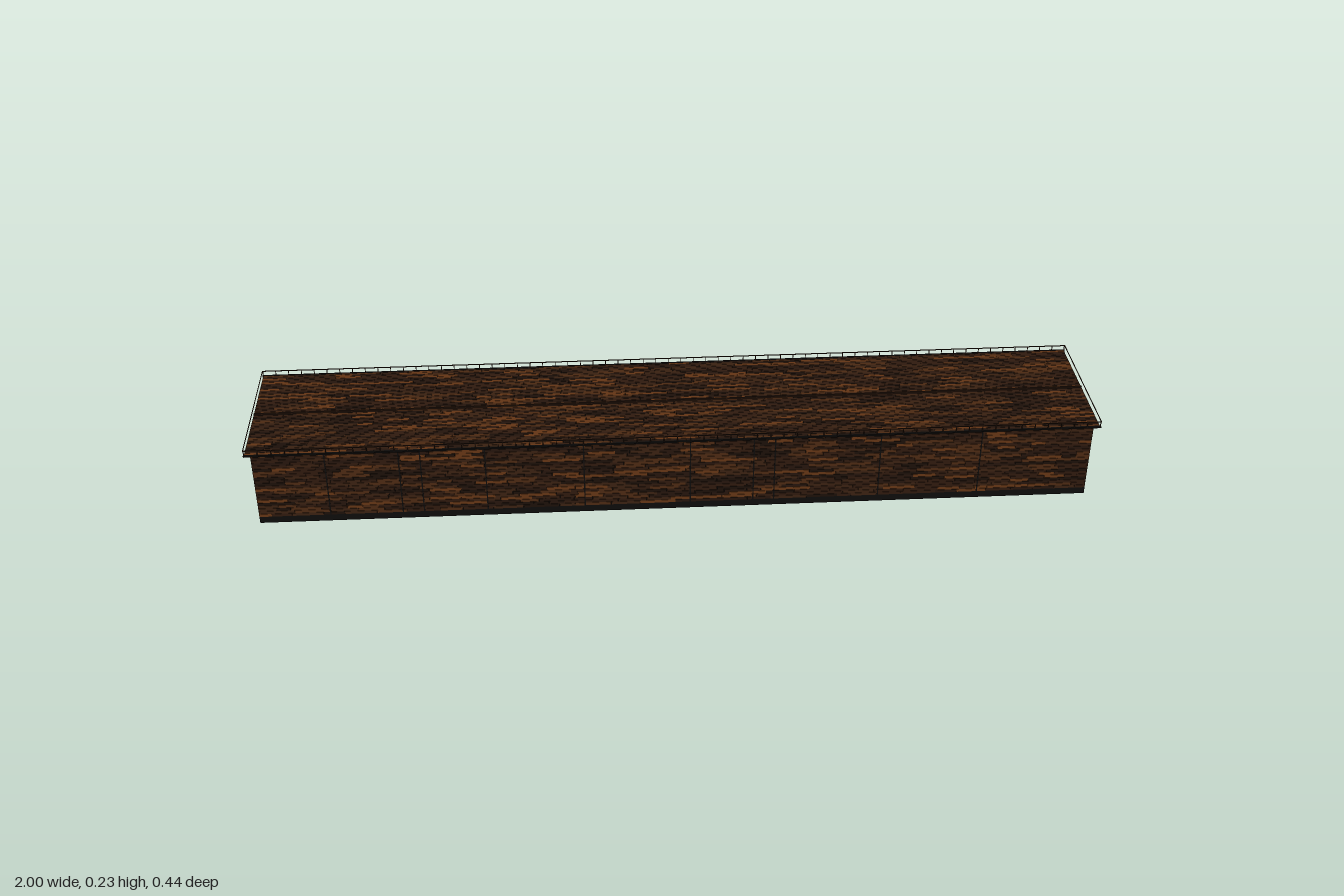
import * as THREE from 'three';
import { mergeGeometries } from 'three/addons/utils/BufferGeometryUtils.js';

const SHADES = [0x2e190d, 0x24140b, 0x382010, 0x4a2811, 0x1b0f08, 0x623414];
const DARK = 0x0d0b0a, BEAM = 0x2a180e;

// small seeded generator for plank lengths and shades
let seed = 7;
function rnd() {
  seed = (seed * 16807) % 2147483647;
  return seed / 2147483647;
}

// box given by its lower and upper corner
function box(x0, x1, y0, y1, z0, z1) {
  const g = new THREE.BoxGeometry(x1 - x0, y1 - y0, z1 - z0);
  return g.translate((x0 + x1) / 2, (y0 + y1) / 2, (z0 + z1) / 2);
}

// round or square bar between two points
function bar(a, b, r, sides = 4) {
  const from = new THREE.Vector3(...a), to = new THREE.Vector3(...b);
  const dir = to.clone().sub(from);
  const g = new THREE.CylinderGeometry(r, r, dir.length(), sides);
  g.applyQuaternion(new THREE.Quaternion().setFromUnitVectors(new THREE.Vector3(0, 1, 0), dir.normalize()));
  return g.translate(...from.add(to).multiplyScalar(0.5).toArray());
}

function part(parent, name, geometries, color) {
  const mesh = new THREE.Mesh(mergeGeometries(geometries), new THREE.MeshStandardMaterial({ color }));
  mesh.name = name;
  parent.add(mesh);
}

// rows of planks of random length; place(u0, u1, v0, v1) makes one plank
function planking(parent, name, u0, u1, v0, v1, rows, length, place) {
  const group = new THREE.Group();
  group.name = name;
  const bins = SHADES.map(() => []);
  const h = (v1 - v0) / rows;
  for (let r = 0; r < rows; r++) {
    let u = u0;
    while (u < u1 - 1e-6) {
      let end = u + length * (0.5 + rnd());
      if (end > u1 - length * 0.3) end = u1;
      const shade = Math.floor(Math.pow(rnd(), 1.4) * SHADES.length);
      bins[shade].push(place(u, end - 0.0006, v0 + r * h, v0 + (r + 1) * h - 0.0007));
      u = end;
    }
  }
  bins.forEach((b, i) => b.length && part(group, name + 'Planks', b, SHADES[i]));
  parent.add(group);
}

export function createModel() {
  const root = new THREE.Group();
  root.name = 'woodenArk';
  const X = 0.986, F = 0.21, B = -0.125, T = 0.003;

  // dark inner hull and base skirt
  part(root, 'hullCore', [box(-X + T, X - T, 0.02, 0.212, B + T, F - T)], DARK);
  part(root, 'baseSkirt', [box(-X, X, 0.019, 0.036, B, F)], DARK);

  // plank cladding on the four walls
  planking(root, 'frontWall', -X, X, 0.036, 0.213, 22, 0.06, (a, b, c, d) => box(a, b, c, d, F - T, F));
  planking(root, 'backWall', -X, X, 0.036, 0.213, 22, 0.06, (a, b, c, d) => box(a, b, c, d, B, B + T));
  planking(root, 'leftWall', B, F, 0.036, 0.213, 22, 0.05, (a, b, c, d) => box(X - T, X, c, d, a, b));
  planking(root, 'rightWall', B, F, 0.036, 0.213, 22, 0.05, (a, b, c, d) => box(-X, -X + T, c, d, a, b));

  // dark vertical seam battens on the long walls
  const seams = [];
  for (const x of [-0.82, -0.65, -0.6, -0.45, -0.22, 0.03, 0.18, 0.23, 0.48, 0.72]) {
    seams.push(box(x, x + 0.003, 0.036, 0.213, F, F + 0.0006));
    seams.push(box(x, x + 0.003, 0.036, 0.213, B - 0.0006, B));
  }
  part(root, 'wallSeams', seams, DARK);

  // overhanging roof with planks along its length
  part(root, 'roofDeck', [box(-0.997, 0.997, 0.211, 0.2145, -0.131, 0.217)], DARK);
  planking(root, 'roof', -0.998, 0.998, -0.132, 0.217, 44, 0.07, (a, b, c, d) => box(a, b, 0.2135, 0.217, c, d));
  part(root, 'roofRidge', [box(-0.998, 0.998, 0.216, 0.22, 0.042, 0.046)], BEAM);

  // roof railing: eave beams, posts and hand rails
  const rail = [], eaves = [];
  for (const z of [-0.132, 0.2195]) {
    eaves.push(box(-1, 1, 0.2135, 0.2175, z - 0.003, z + 0.002));
    rail.push(box(-1, 1, 0.229, 0.231, z - 0.0008, z + 0.0008));
    for (let i = 0; i <= 64; i++) {
      const x = -0.998 + i * 1.996 / 64;
      rail.push(box(x - 0.0009, x + 0.0009, 0.216, 0.23, z - 0.0009, z + 0.0009));
    }
  }
  for (const x of [-0.999, 0.999]) rail.push(box(x - 0.0008, x + 0.0008, 0.229, 0.231, -0.132, 0.2195));
  part(root, 'eaveBeams', eaves, DARK);
  part(root, 'roofRailing', rail, BEAM);

  // two rows of support blocks
  const blocks = [];
  for (let i = 0; i < 46; i++) {
    const x = -0.98 + i * 1.955 / 45;
    for (const z of [0.149, -0.0615]) blocks.push(box(x - 0.005, x + 0.005, 0, 0.021, z - 0.0063, z + 0.0063));
  }
  part(root, 'supportBlocks', blocks, 0x3a2010);

  // entrance door and frame on the back
  const dx0 = -0.598, dx1 = -0.554;
  part(root, 'doorway', [box(dx0, dx1, 0.022, 0.085, B - 0.001, B)], DARK);
  part(root, 'doorFrame', [
    box(dx0 - 0.004, dx0, 0.02, 0.089, B - 0.003, B), box(dx1, dx1 + 0.004, 0.02, 0.089, B - 0.003, B),
    box(dx0, dx1, 0.085, 0.089, B - 0.003, B)], BEAM);

  // ramp of cross planks with trestle posts
  const ramp = new THREE.Group();
  ramp.name = 'ramp';
  const boards = [[], []], trestle = [];
  for (let i = 0; i < 18; i++) {
    const t = i / 17, g = box(dx0, dx1, -0.0008, 0.0008, -0.0022, 0.0022);
    boards[i % 2].push(g.rotateX(-0.19).translate(0, 0.02 - 0.0175 * t, -0.128 - 0.088 * t));
  }
  for (const x of [dx0 + 0.002, dx1 - 0.002]) {
    trestle.push(bar([x, 0.018, -0.126], [x, 0.001, -0.217], 0.001));
    trestle.push(bar([x, 0.019, -0.126], [x, 0.019, -0.22], 0.0009));
    for (const [z, y0, y1] of [[-0.147, 0.016, 0.03], [-0.163, 0.013, 0.028], [-0.179, 0.01, 0.025], [-0.195, 0.007, 0.022]])
      trestle.push(bar([x, y0, z], [x, y1, z], 0.001));
  }
  part(ramp, 'rampBoards', boards[0], 0x4a2811);
  part(ramp, 'rampBoards', boards[1], 0x2e190d);
  part(ramp, 'rampRails', trestle, DARK);
  root.add(ramp);

  // scaffold with two decks and a ladder
  const scaffold = new THREE.Group();
  scaffold.name = 'scaffold';
  const poles = [], decks = [], ladder = [];
  const s0 = -0.44, s1 = -0.302, zi = -0.1305, zo = -0.152;
  for (let i = 0; i < 6; i++) {
    const x = s0 + (s1 - s0) * i / 5;
    for (const z of [zi, zo]) poles.push(bar([x, 0, z], [x, 0.145, z], 0.0009));
    for (const y of [0.057, 0.102, 0.143]) poles.push(bar([x, y, zi], [x, y, zo], 0.0008));
  }
  for (const z of [zi, zo]) for (const y of [0.075, 0.12, 0.143]) poles.push(bar([s0, y, z], [s1, y, z], 0.0007));
  for (const y of [0.057, 0.102])
    for (let k = 0; k < 4; k++) {
      const z = zo + k * 0.0054;
      decks.push(box(s0, s1, y - 0.001, y + 0.001, z, z + 0.005));
    }
  const lz0 = -0.1315, lz1 = -0.139, lx = s1 + 0.004;
  for (const z of [lz0, lz1]) ladder.push(bar([lx, 0, z], [lx, 0.102, z], 0.0007));
  for (let i = 1; i < 16; i++) ladder.push(bar([lx, i * 0.0064, lz0], [lx, i * 0.0064, lz1], 0.0005));
  part(scaffold, 'scaffoldPoles', poles, DARK);
  part(scaffold, 'scaffoldDecks', decks, 0x3a2010);
  part(scaffold, 'ladder', ladder, BEAM);
  part(scaffold, 'crate', [box(-0.39, -0.378, 0.058, 0.069, -0.146, -0.136)], BEAM);
  root.add(scaffold);
  return root;
}
